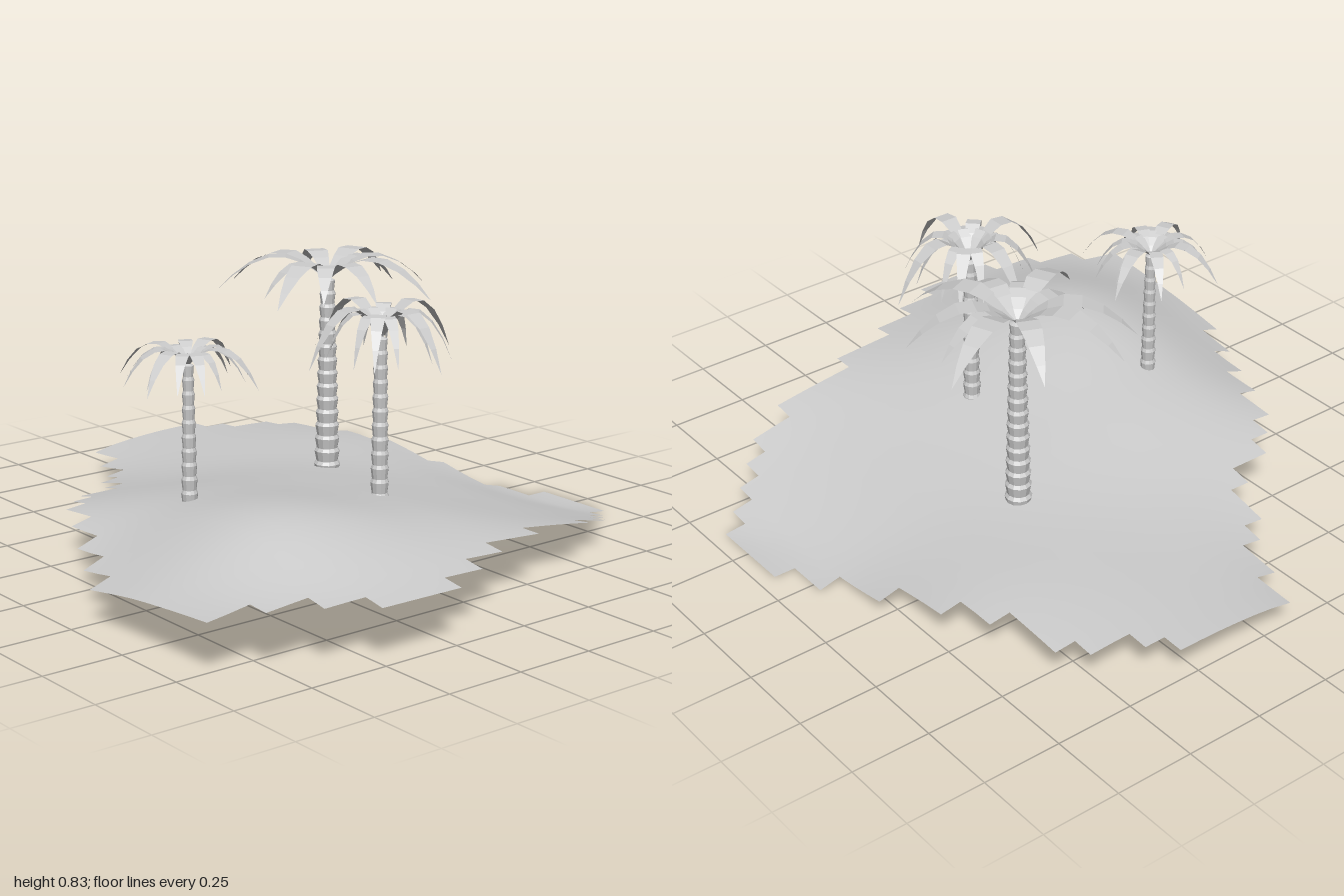
import * as THREE from 'three';

const grey = new THREE.MeshStandardMaterial({ color: 0xcccccc, side: THREE.DoubleSide });
const facet = new THREE.MeshStandardMaterial({ color: 0xcccccc, side: THREE.DoubleSide, flatShading: true });

// Ground heights on a 5 x 5 grid: rows run back to front, columns -x to +x
const HEIGHTS = [
  [0.04, 0.06, -0.03, 0.0, 0.08],
  [0.10, 0.13, 0.105, 0.11, 0.16],
  [0.09, 0.125, 0.19, 0.215, 0.16],
  [-0.02, 0.115, 0.21, 0.28, 0.165],
  [0.05, 0.13, 0.06, 0.12, 0.17],
];
// First and last ground cell of each row, giving the stepped shoreline
const FIRST = [16, 14, 11, 8, 6, 3, 2, 2, 1, 0, 0, 0, 0, 0, 0, 2, 4, 5, 7, 8, 8, 9, 10, 12, 14, 16, 18];
const LAST = [20, 21, 22, 23, 24, 24, 25, 25, 25, 25, 26, 26, 26, 27, 27, 28, 28, 29, 29, 29, 29, 28, 28, 27, 27, 26, 26];

// Smooth curve through five evenly spaced values over -1..1
function smooth(v, s) {
  const u = THREE.MathUtils.clamp((s + 1) * 2, 0, 4);
  const i = Math.min(3, Math.floor(u)), t = u - i;
  const a = v[Math.max(0, i - 1)], b = v[i], c = v[i + 1], d = v[Math.min(4, i + 2)];
  return b + 0.5 * t * (c - a + t * (2 * a - 5 * b + 4 * c - d + t * (3 * (b - c) + d - a)));
}
const groundHeight = (x, z) => Math.max(0, smooth(HEIGHTS.map((row) => smooth(row, x)), z));

function makeGround() {
  const cols = 29, rows = 27;
  const geo = new THREE.PlaneGeometry(2, 1.876, cols, rows).rotateX(-Math.PI / 2).translate(0, 0, -0.007);
  const p = geo.attributes.position;
  for (let i = 0; i < p.count; i++) p.setY(i, groundHeight(p.getX(i), p.getZ(i)));
  geo.computeVertexNormals();
  // Keep only the cells inside the shoreline
  const kept = Array.from(geo.index.array).filter((_, k) => {
    const cell = Math.floor(k / 6), row = Math.floor(cell / cols), col = cell % cols;
    return col >= FIRST[row] && col < LAST[row];
  });
  geo.setIndex(kept);
  const mesh = new THREE.Mesh(geo.toNonIndexed(), grey);
  mesh.name = 'ground';
  return mesh;
}

// Tapered trunk of stacked flaring rings
function makeTrunk(bottom, top, r0, r1) {
  const rings = Math.round((top - bottom) / 0.042);
  const pts = [new THREE.Vector2(0, bottom)];
  for (let i = 0; i < rings; i++) {
    const r = THREE.MathUtils.lerp(r0, r1, i / (rings - 1));
    const y = (t) => THREE.MathUtils.lerp(bottom, top, (i + t) / rings);
    pts.push(new THREE.Vector2(r * 0.85, y(0)), new THREE.Vector2(r, y(0.75)));
  }
  pts.push(new THREE.Vector2(0, top));
  const mesh = new THREE.Mesh(new THREE.LatheGeometry(pts, 12), facet);
  mesh.name = 'trunk';
  return mesh;
}

// Thin arched leaf along +x, flat across, rising from the heart and drooping to a point
function makeFrond(length, rise, drop, halfWidth) {
  const path = new THREE.CatmullRomCurve3([
    [0, 0], [0.22, 0.7 * rise], [0.45, rise], [0.75, 0.6 * rise - 0.15 * drop], [1, -drop],
  ].map(([x, y]) => new THREE.Vector3(x * length, y, 0)));
  const steps = 7, pos = [], index = [];
  for (let i = 0; i <= steps; i++) {
    const t = i / steps, c = path.getPoint(t);
    const w = halfWidth * (t < 0.45 ? 0.25 + (0.75 * t) / 0.45 : 1 - ((t - 0.45) / 0.55) ** 1.5);
    pos.push(c.x, c.y, -w, c.x, c.y, w);
    const a = 2 * i;
    if (i < steps) index.push(a, a + 1, a + 2, a + 1, a + 3, a + 2);
  }
  const geo = new THREE.BufferGeometry();
  geo.setAttribute('position', new THREE.Float32BufferAttribute(pos, 3));
  geo.setIndex(index);
  geo.computeVertexNormals();
  const mesh = new THREE.Mesh(geo, facet);
  mesh.name = 'frond';
  return mesh;
}

function makePalm({ name, x, z, bottom, top, r0, r1, reach, rise, drop, width, tips }) {
  const palm = new THREE.Group();
  palm.name = name;
  palm.position.set(x, 0, z);
  palm.add(makeTrunk(bottom, top, r0, r1));
  const crown = new THREE.Group();
  crown.name = 'crown';
  crown.position.y = top - 0.01;
  for (const [tx, tz] of tips) {
    const length = Math.hypot(tx, tz), k = length / reach;
    const frond = makeFrond(length, rise * (0.4 + 0.6 * k), drop, width * (0.4 + 0.6 * k));
    frond.rotation.y = Math.atan2(-tz, tx);
    crown.add(frond);
  }
  palm.add(crown);
  return palm;
}

// Evenly radiating tips: four long, four medium, eight short
const evenTips = Array.from({ length: 16 }, (_, i) => {
  const r = i % 4 === 0 ? 0.27 : i % 2 === 0 ? 0.21 : 0.17, a = (i * Math.PI) / 8;
  return [r * Math.cos(a), r * Math.sin(a)];
});

const PALMS = [
  {
    name: 'tallPalm', x: -0.185, z: -0.255, bottom: 0.125, top: 0.765, r0: 0.042, r1: 0.024,
    reach: 0.34, rise: 0.078, drop: 0.035, width: 0.037,
    tips: [[-0.13, -0.33], [0.13, -0.3], [0.33, -0.145], [0.28, 0.03], [0.15, 0.315], [-0.02, 0.235],
      [-0.225, 0.265], [-0.315, 0.14], [-0.28, -0.12], [0, -0.27], [0.18, 0.16]],
  },
  {
    name: 'middlePalm', x: 0.3, z: -0.065, bottom: 0.165, top: 0.69, r0: 0.029, r1: 0.021,
    reach: 0.27, rise: 0.105, drop: 0.06, width: 0.028, tips: evenTips,
  },
  {
    name: 'shortPalm', x: 0.053, z: 0.455, bottom: 0.17, top: 0.64, r0: 0.026, r1: 0.017,
    reach: 0.22, rise: 0.058, drop: 0.05, width: 0.023,
    tips: [[-0.085, -0.215], [0.06, -0.175], [0.215, -0.095], [0.18, 0.07], [0.095, 0.21], [-0.055, 0.19],
      [-0.205, 0.1], [-0.175, -0.105], [-0.01, -0.15], [0.12, -0.12], [0.13, 0.13], [0.02, 0.16],
      [-0.12, 0.14], [-0.16, 0], [0.15, -0.01]],
  },
];

export function createModel() {
  const model = new THREE.Group();
  model.name = 'palmIsland';
  model.add(makeGround(), ...PALMS.map(makePalm));
  return model;
}
